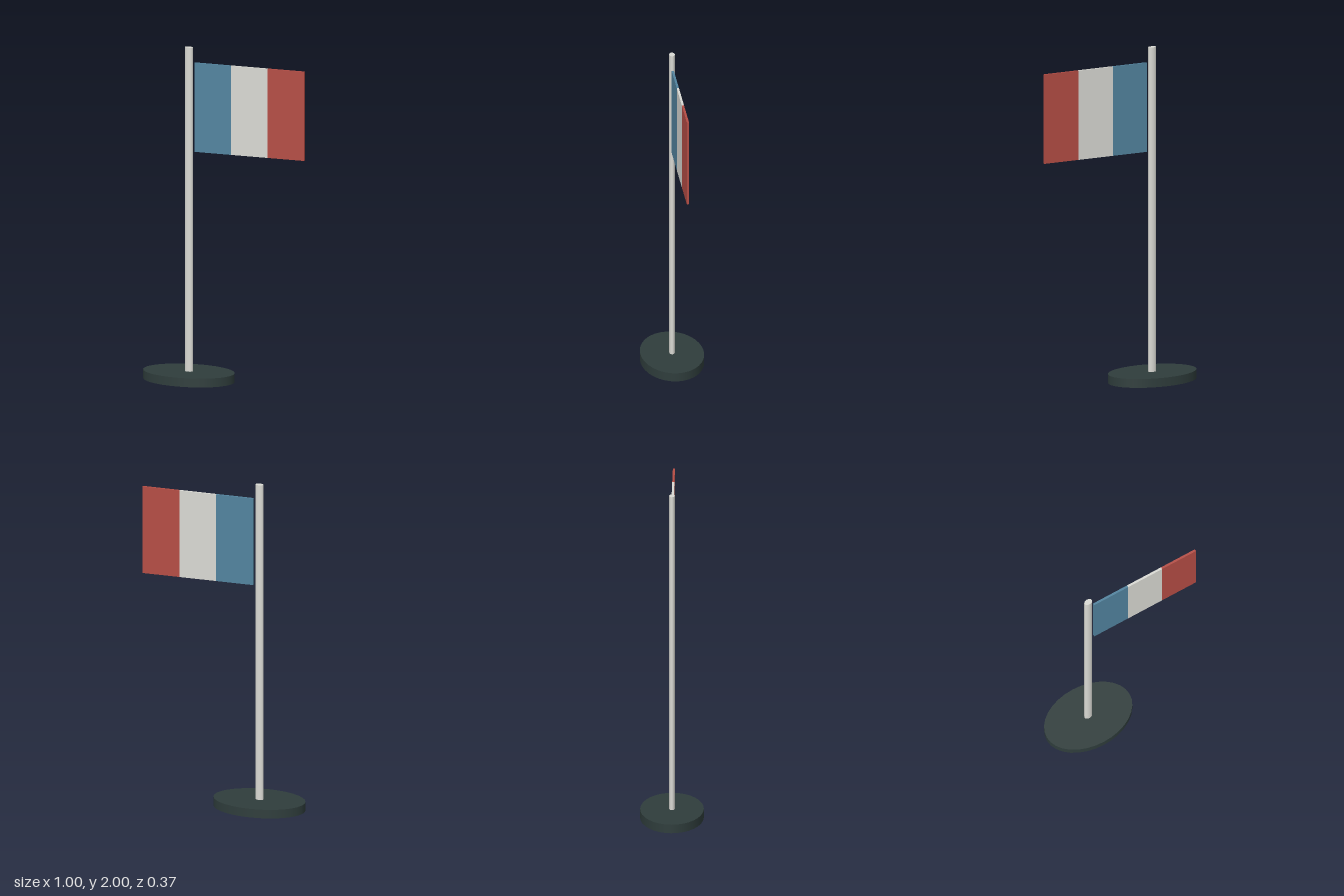
import * as THREE from 'three';

const material = (name, color) => {
  const m = new THREE.MeshStandardMaterial({ color });
  m.name = name;
  return m;
};

export function createModel() {
  const white = material('offWhite', 0xdadad4);
  const blue = material('blue', 0x52849f);
  const red = material('red', 0xb54d45);
  const dark = material('darkGreenGrey', 0x2f3d3c);

  const group = new THREE.Group();
  group.name = 'flagOnStand';
  const add = (name, geometry, mat, x, y) => {
    const mesh = new THREE.Mesh(geometry, mat);
    mesh.name = name;
    mesh.position.set(x, y, 0);
    group.add(mesh);
  };

  // Elliptical upright cylinder, wider along x than along z
  const ellipticCylinder = (rx, rz, height, sides) =>
    new THREE.CylinderGeometry(1, 1, height, sides).scale(rx, 1, rz);

  // Stand and pole
  const poleX = -0.222;
  add('base', ellipticCylinder(0.278, 0.187, 0.053, 32), dark, poleX, 0.0265);
  add('pole', ellipticCylinder(0.025, 0.0165, 1.999, 16), white, poleX, 1.0005);

  // Flag of three equal vertical bands, just clear of the pole
  const left = -0.185, band = 0.685 / 3, bottom = 1.375, top = 1.91;
  [['blueBand', blue], ['whiteBand', white], ['redBand', red]].forEach(([name, mat], i) => {
    add(name, new THREE.BoxGeometry(band, top - bottom, 0.013), mat,
      left + band * (i + 0.5), (top + bottom) / 2);
  });

  return group;
}
